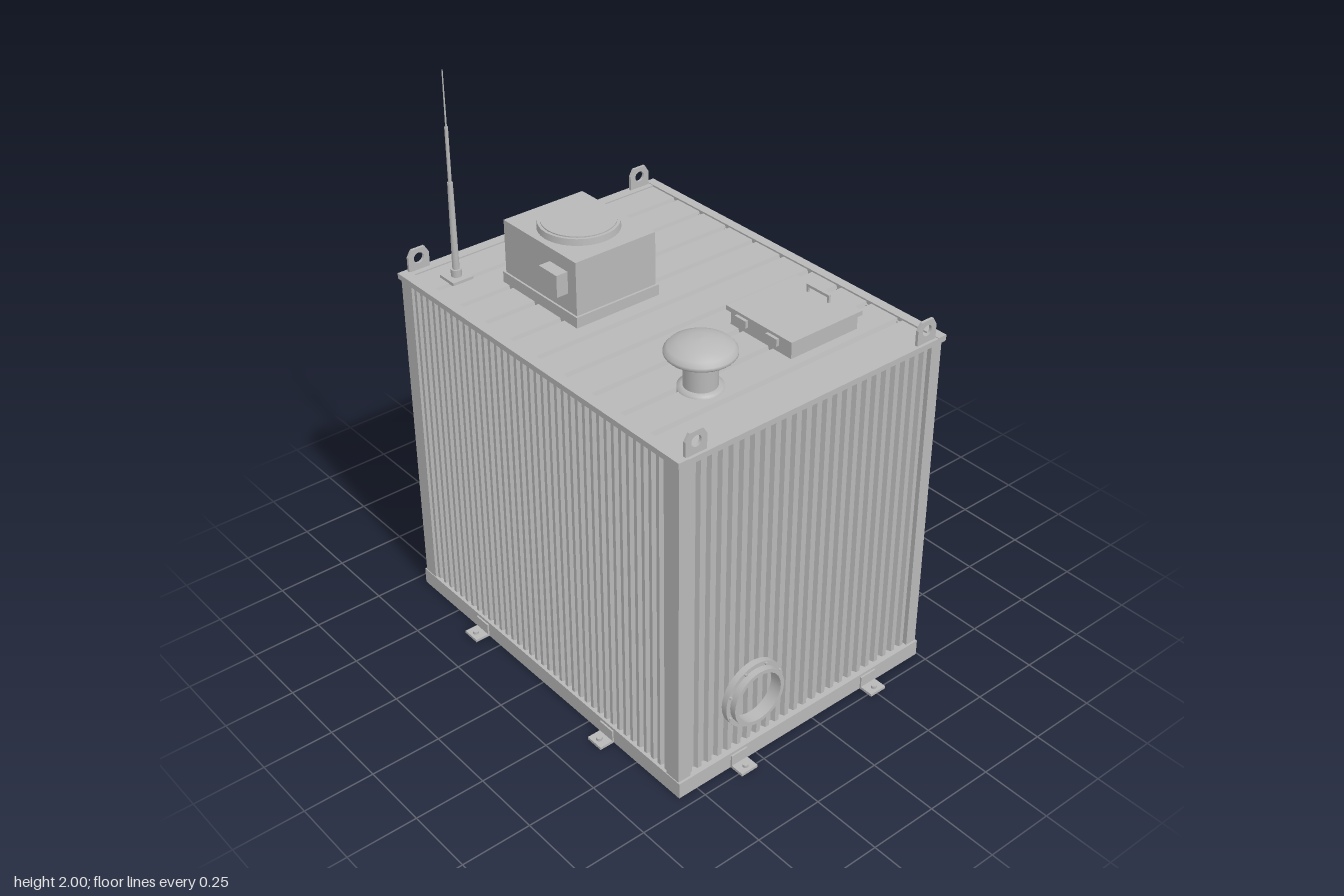
import * as THREE from 'three';

export function createModel() {
  const model = new THREE.Group();
  model.name = 'equipmentShelter';
  const grey = new THREE.MeshStandardMaterial({ color: 0xb8b8b8 });
  grey.name = 'painted grey';

  const add = (name, geo, parent = model) => {
    const m = new THREE.Mesh(geo, grey);
    m.name = name;
    parent.add(m);
    return m;
  };
  // Box given by its limits on each axis
  const box = (name, x0, x1, y0, y1, z0, z1, parent) =>
    add(name, new THREE.BoxGeometry(x1 - x0, y1 - y0, z1 - z0)
      .translate((x0 + x1) / 2, (y0 + y1) / 2, (z0 + z1) / 2), parent);
  const rod = (name, r, x, y0, y1, z, parent, rTop = r) =>
    add(name, new THREE.CylinderGeometry(rTop, r, y1 - y0, 12).translate(x, (y0 + y1) / 2, z), parent);
  const turned = (name, pts, seg = 32, parent = model) =>
    add(name, new THREE.LatheGeometry(pts.map(p => new THREE.Vector2(...p)), seg), parent);
  // Closed prism from a (z, y) outline running along x
  const prism = (name, outline, x0, x1, parent) => {
    const s = new THREE.Shape(outline.map(([z, y]) => new THREE.Vector2(-z, y)));
    return add(name, new THREE.ExtrudeGeometry(s, { depth: x1 - x0, bevelEnabled: false })
      .rotateY(Math.PI / 2).translate(x0, 0, 0), parent);
  };
  // Trapezoidal sheet: ribs face +y, run along +z, top of ribs at y = 0
  const corrugated = (length, run, ribs, depth, flat, slope) => {
    const pitch = length / ribs, s = new THREE.Shape();
    s.moveTo(-length / 2, -depth - 0.008);
    s.lineTo(length / 2, -depth - 0.008);
    for (let i = ribs - 1; i >= 0; i--) {
      const c = -length / 2 + (i + 0.5) * pitch;
      s.lineTo(c + flat / 2 + slope, -depth);
      s.lineTo(c + flat / 2, 0);
      s.lineTo(c - flat / 2, 0);
      s.lineTo(c - flat / 2 - slope, -depth);
    }
    s.closePath();
    return new THREE.ExtrudeGeometry(s, { depth: run, bevelEnabled: false });
  };
  // Upright corrugated wall; turn 0 faces the back
  const wall = (name, length, ribs, turn, x, z) => {
    const p = length / ribs;
    const g = corrugated(length, 1.21, ribs, 0.015, p * 0.38, p * 0.14).rotateX(-Math.PI / 2);
    add(name, g.rotateY(turn).translate(x, 0.055, z));
  };

  // Walls
  wall('frontWall', 1.3, 38, Math.PI, 0, 0.563);
  wall('leftWall', 0.99, 24, -Math.PI / 2, 0.692, 0.04);
  wall('rightWall', 0.99, 24, Math.PI / 2, -0.692, 0.04);
  for (const s of [1, -1]) wall('backWall', 0.385, 9, 0, s * 0.46, -0.486);
  box('backDoorPanel', -0.27, 0.27, 0.003, 1.262, -0.494, -0.47);

  // Corner posts, base frame and roof rails
  for (const s of [1, -1]) {
    const [a, b] = s > 0 ? [0.645, 0.702] : [-0.702, -0.645];
    box('cornerPost', a, b, 0.05, 1.265, 0.52, 0.57);
    box('cornerPost', a, b, 0.05, 1.265, -0.493, -0.45);
    const [c, d] = s > 0 ? [0.67, 0.71] : [-0.71, -0.67];
    box('baseRail', c, d, 0, 0.06, -0.495, 0.573);
    box('roofRail', c, d, 1.258, 1.278, -0.5, 0.575);
  }
  box('frontBaseRail', -0.67, 0.67, 0, 0.06, 0.535, 0.573);
  for (const s of [1, -1]) box('backBaseRail', Math.min(s * 0.27, s * 0.67), Math.max(s * 0.27, s * 0.67), 0, 0.06, -0.495, -0.46);
  box('frontRoofRail', -0.71, 0.71, 1.26, 1.28, 0.54, 0.578);
  box('backRoofRail', -0.71, 0.71, 1.26, 1.28, -0.504, -0.47);

  // Ribbed roof and floor
  add('roofSheet', corrugated(1.36, 1.02, 10, 0.018, 0.114, 0.006).translate(0, 1.274, -0.475));
  add('floorSheet', corrugated(1.36, 1.02, 24, 0.016, 0.026, 0.007).rotateZ(Math.PI).translate(0, 0.018, -0.475));

  // Lifting lugs with an eye
  const lugShape = new THREE.Shape();
  lugShape.moveTo(-0.04, 0).lineTo(0.04, 0).lineTo(0.04, 0.06).lineTo(0.025, 0.085)
    .lineTo(-0.025, 0.085).lineTo(-0.04, 0.06).closePath();
  const eye = new THREE.Path();
  eye.absarc(0, 0.05, 0.019, 0, Math.PI * 2);
  lugShape.holes.push(eye);
  const lugGeo = new THREE.ExtrudeGeometry(lugShape, { depth: 0.01, bevelEnabled: false, curveSegments: 10 })
    .rotateY(Math.PI / 2);
  for (const x of [-0.7, 0.69]) for (const z of [0.505, -0.425])
    add('liftingLug', lugGeo).position.set(x, 1.27, z);

  // Anchor feet; local +z points outward
  const feet = [[-0.348, 0.573, 0], [0.348, 0.573, 0], [-0.465, -0.495, Math.PI], [0.465, -0.495, Math.PI]];
  for (const z of [-0.255, 0.325]) feet.push([0.71, z, Math.PI / 2], [-0.71, z, -Math.PI / 2]);
  for (const [x, z, turn] of feet) {
    const foot = new THREE.Group();
    foot.name = 'anchorFoot';
    box('footPlate', -0.033, 0.033, 0, 0.01, 0, 0.055, foot);
    box('footBracket', -0.033, 0.033, 0.01, 0.05, 0, 0.006, foot);
    rod('anchorBolt', 0.01, 0, 0.01, 0.02, 0.034, foot);
    foot.position.set(x, 0, z);
    foot.rotation.y = turn;
    model.add(foot);
  }

  // Round duct collars on both ends
  for (const s of [1, -1]) {
    const collar = new THREE.Group();
    collar.name = 'ductCollar';
    const edge = [[0.09, 0], [0.12, 0], [0.12, 0], [0.12, 0.022], [0.12, 0.022], [0.104, 0.022], [0.104, 0.022],
      [0.104, 0.045], [0.104, 0.045], [0.09, 0.045], [0.09, 0.045], [0.09, 0]];
    turned('collarRing', edge, 36, collar);
    for (let i = 0; i < 8; i++) {
      const a = (i + 0.5) * Math.PI / 4;
      rod('collarBolt', 0.005, 0.112 * Math.cos(a), 0.022, 0.029, 0.112 * Math.sin(a), collar);
    }
    collar.position.set(s * 0.692, 0.26, 0.265);
    collar.rotation.z = -s * Math.PI / 2;
    model.add(collar);
  }

  // Rooftop cooling unit
  box('coolerSkirt', -0.45, -0.06, 1.262, 1.312, 0.01, 0.34);
  box('coolerBody', -0.442, -0.068, 1.312, 1.5, 0.017, 0.333);
  box('coolerJunctionBox', -0.2, -0.11, 1.375, 1.452, 0.333, 0.376);
  box('coolerSidePanel', -0.447, -0.442, 1.335, 1.475, 0.05, 0.3);
  add('coolerFanRing', new THREE.CylinderGeometry(0.132, 0.135, 0.024, 36).translate(-0.255, 1.51, 0.175));
  add('coolerFanCap', new THREE.CylinderGeometry(0.122, 0.122, 0.006, 36).translate(-0.255, 1.523, 0.175));

  // Roof hatch
  box('hatchCurb', 0.225, 0.5, 1.262, 1.326, -0.325, -0.045);
  box('hatchLid', 0.213, 0.51, 1.324, 1.34, -0.335, -0.035);
  for (const x of [0.29, 0.43]) box('hatchHinge', x - 0.025, x + 0.025, 1.305, 1.33, -0.036, -0.024);
  box('hatchHandle', 0.31, 0.41, 1.358, 1.367, -0.294, -0.286);
  for (const x of [0.31, 0.402]) box('hatchHandlePost', x, x + 0.008, 1.338, 1.36, -0.294, -0.286);

  // Mushroom vent
  const vent = turned('mushroomVent', [[0.072, 0], [0.072, 0.02], [0.054, 0.022], [0.054, 0.022], [0.054, 0.1],
    [0.054, 0.1], [0.075, 0.115], [0.108, 0.128], [0.112, 0.133], [0.112, 0.142], [0.1, 0.156], [0.07, 0.17],
    [0.035, 0.178], [0, 0.18]]);
  vent.position.set(0.44, 1.262, 0.265);

  // Whip antenna
  box('antennaBase', -0.607, -0.529, 1.272, 1.284, 0.404, 0.482);
  rod('antennaSocket', 0.018, -0.568, 1.28, 1.31, 0.443);
  rod('antennaLower', 0.012, -0.568, 1.3, 1.62, 0.443, model, 0.009);
  rod('antennaMiddle', 0.006, -0.568, 1.62, 1.81, 0.443);
  rod('antennaTip', 0.003, -0.568, 1.81, 2, 0.443, model, 0.002);

  // Louvred vent on the back
  box('louverBack', 0.34, 0.62, 0.65, 1, -0.5, -0.484);
  for (const x of [0.335, 0.607]) box('louverSide', x, x + 0.016, 0.64, 1, -0.525, -0.484);
  box('louverSill', 0.335, 0.623, 0.64, 0.656, -0.525, -0.484);
  prism('louverHood', [[-0.484, 0.985], [-0.532, 0.985], [-0.532, 0.992], [-0.484, 1.01]], 0.33, 0.628);
  for (let i = 0; i < 7; i++) {
    const y = 0.66 + i * 0.046;
    prism('louverBlade', [[-0.498, y + 0.042], [-0.522, y + 0.006], [-0.522, y], [-0.498, y + 0.034]], 0.351, 0.607);
  }

  // Electrical cabinet on the back with a sloping rain hood
  box('cabinetBody', -0.61, -0.37, 0.355, 0.71, -0.575, -0.484);
  box('cabinetDoor', -0.598, -0.382, 0.37, 0.695, -0.583, -0.575);
  box('cabinetHandle', -0.57, -0.558, 0.46, 0.59, -0.603, -0.593);
  for (const y of [0.465, 0.575]) box('cabinetHandlePost', -0.569, -0.559, y, y + 0.01, -0.594, -0.58);
  for (const y of [0.42, 0.62]) rod('cabinetHinge', 0.007, -0.38, y, y + 0.04, -0.586);
  prism('cabinetHood', [[-0.484, 0.705], [-0.63, 0.705], [-0.63, 0.72], [-0.5, 0.76], [-0.484, 0.76]], -0.627, -0.355);

  // Cable tray, conduit and lamp above the cabinet
  box('cablePlate', -0.64, -0.375, 0.86, 0.985, -0.495, -0.484);
  box('cableRail', -0.64, -0.34, 1.215, 1.232, -0.5, -0.484);
  rod('cabinetConduit', 0.008, -0.615, 0.74, 1.21, -0.504);
  rod('cabinetConduit', 0.006, -0.35, 0.74, 1.215, -0.496);
  box('backLamp', -0.64, -0.6, 1.195, 1.24, -0.526, -0.484);
  for (const y of [0.8, 0.99, 1.1]) box('conduitClamp', -0.632, -0.598, y, y + 0.012, -0.516, -0.484);

  // Meter box, conduit and fittings on the right side
  box('meterBox', -0.763, -0.688, 0.612, 0.838, -0.335, -0.185);
  box('meterBoxLid', -0.77, -0.763, 0.622, 0.828, -0.325, -0.195);
  rod('meterConduit', 0.01, -0.705, 0.83, 1.2, -0.255);
  box('conduitHead', -0.74, -0.688, 1.19, 1.235, -0.28, -0.23);
  for (const z of [-0.29, -0.23]) rod('cableGland', 0.009, -0.725, 0.585, 0.615, z);
  box('lowerCablePlate', -0.702, -0.688, 0.43, 0.5, -0.335, -0.215);

  return model;
}
